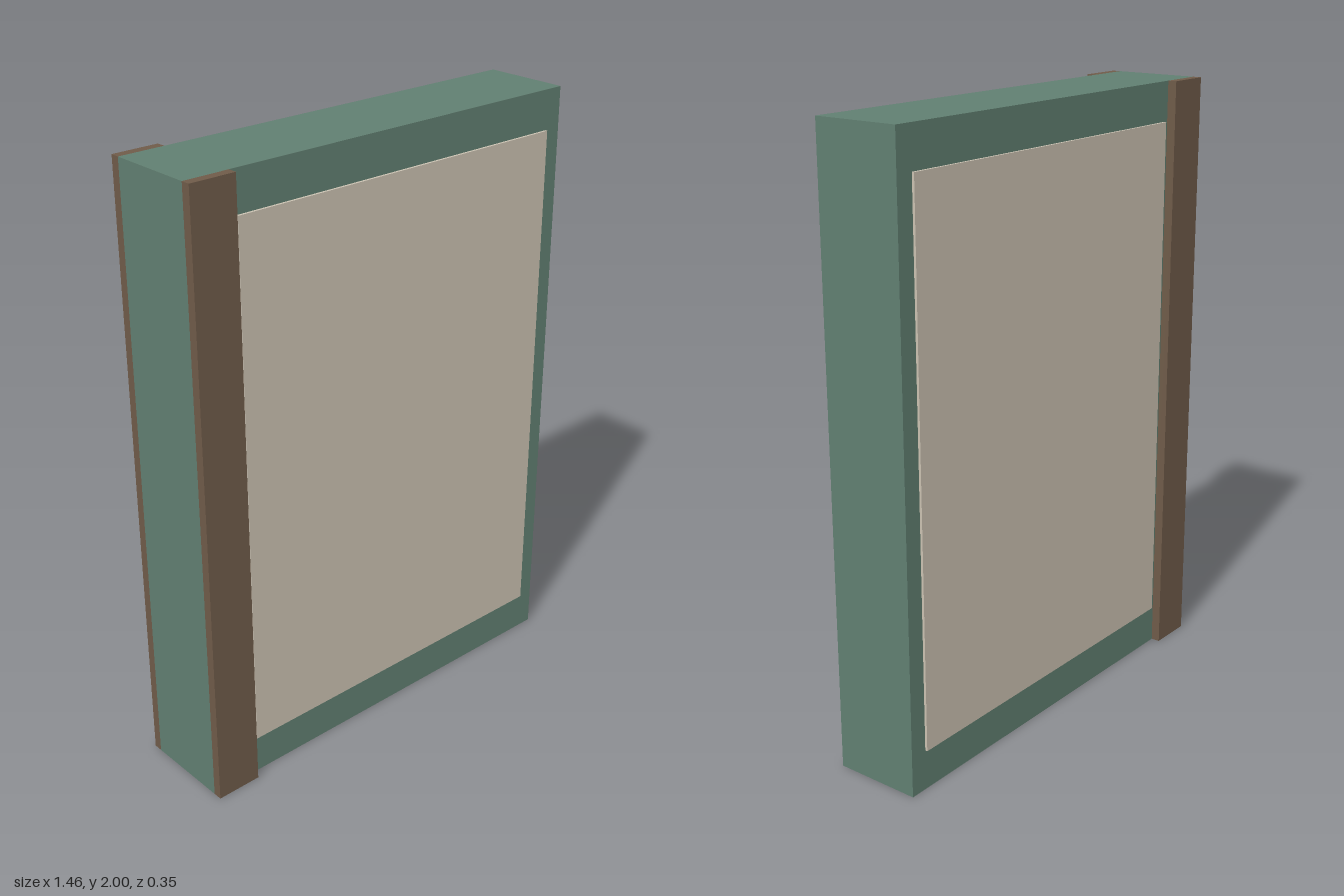
import * as THREE from 'three';

const material = (name, color) => {
  const m = new THREE.MeshStandardMaterial({ color });
  m.name = name;
  return m;
};

export function createModel() {
  const green = material('green cover', 0x617f71);
  const brown = material('brown spine', 0x6f5b49);
  const cream = material('cream panel', 0xcac1b1);

  const book = new THREE.Group();
  book.name = 'book';

  // Box given by its lower and upper corners
  const box = (name, mat, [x0, y0, z0], [x1, y1, z1]) => {
    const mesh = new THREE.Mesh(new THREE.BoxGeometry(x1 - x0, y1 - y0, z1 - z0), mat);
    mesh.position.set((x0 + x1) / 2, (y0 + y1) / 2, (z0 + z1) / 2);
    mesh.name = name;
    book.add(mesh);
  };

  // Cover block
  box('cover', green, [-0.73, 0, -0.145], [0.73, 2, 0.145]);

  // Raised spine strip and thin inset panel on both faces
  for (const [side, s] of [['front', 1], ['back', -1]]) {
    const span = (a, b) => (s > 0 ? [a, b] : [-b, -a]);
    const [s0, s1] = span(0.145, 0.175);
    box(side + 'SpineStrip', brown, [-0.73, 0, s0], [-0.578, 2, s1]);
    const [p0, p1] = span(0.145, 0.153);
    box(side + 'Panel', cream, [-0.56, 0.132, p0], [0.67, 1.87, p1]);
  }

  return book;
}
